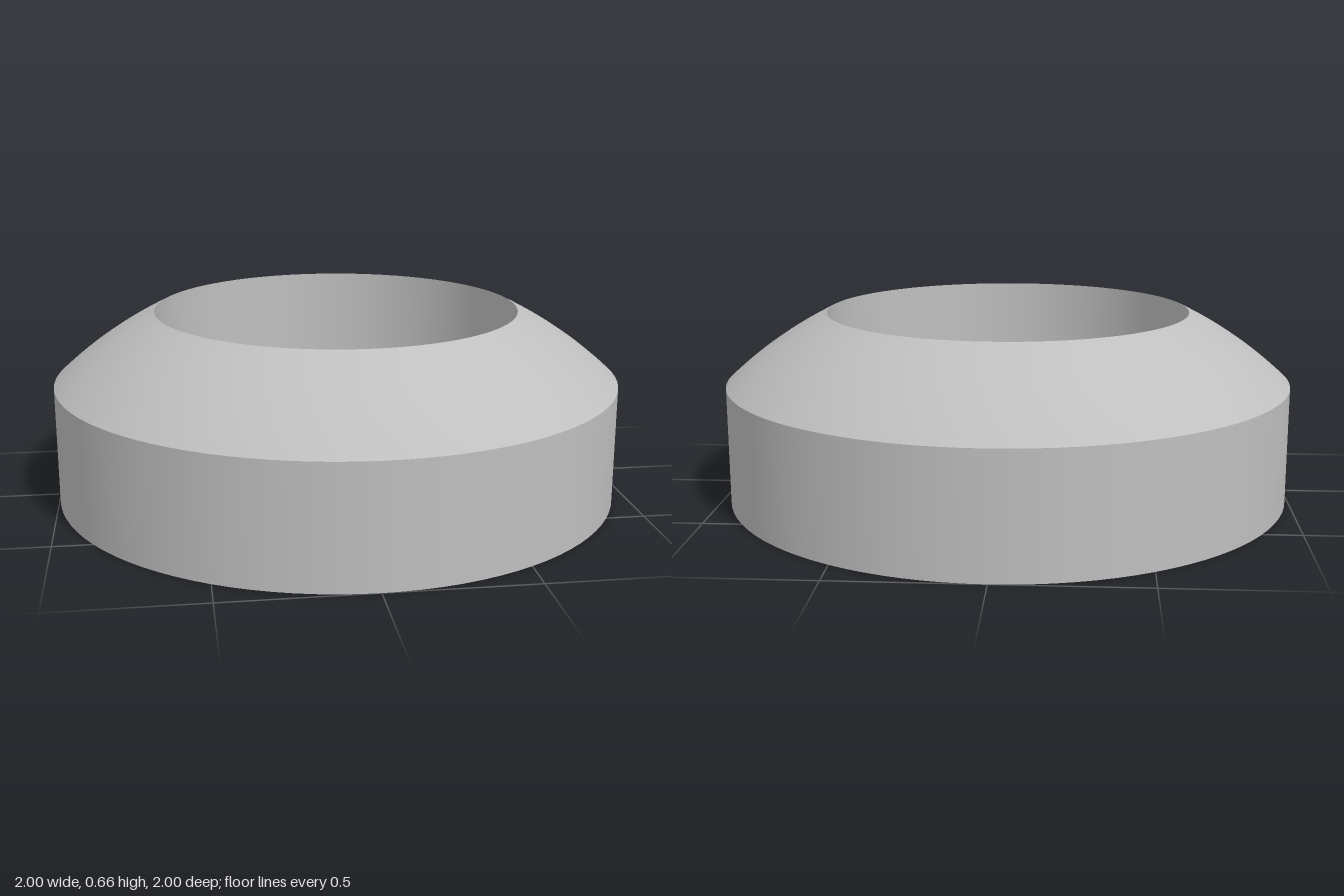
import * as THREE from 'three';

const SEGMENTS = 96;
const HEIGHT = 0.66, SHOULDER = 0.415, LEDGE = 0.24;
const OUTER = 1, RIM = 0.643, BORE = 0.534;

export function createModel() {
  const group = new THREE.Group();
  group.name = 'domedRing';
  const steel = new THREE.MeshStandardMaterial({ color: 0xbfbfbf });
  steel.name = 'plain grey';

  // Each surface is its own lathe, so edges between them stay sharp
  const addSurface = (name, points) => {
    const profile = points.map(([r, y]) => new THREE.Vector2(r, y));
    const mesh = new THREE.Mesh(new THREE.LatheGeometry(profile, SEGMENTS), steel);
    mesh.name = name;
    group.add(mesh);
  };

  // Spherical shoulder: arc centred on the axis through shoulder and rim
  const centre = (RIM ** 2 + HEIGHT ** 2 - OUTER ** 2 - SHOULDER ** 2) / (2 * (HEIGHT - SHOULDER));
  const radius = Math.hypot(OUTER, SHOULDER - centre);
  const a0 = Math.atan2(SHOULDER - centre, OUTER);
  const a1 = Math.atan2(HEIGHT - centre, RIM);
  const dome = [];
  for (let i = 0; i <= 12; i++) {
    const a = a0 + (a1 - a0) * i / 12;
    dome.push([radius * Math.cos(a), centre + radius * Math.sin(a)]);
  }

  // Profile runs counter-clockwise so every face points outwards
  addSurface('base', [[BORE, 0], [OUTER, 0]]);
  addSurface('outerWall', [[OUTER, 0], [OUTER, SHOULDER]]);
  addSurface('domedShoulder', dome);
  addSurface('upperBore', [[RIM, HEIGHT], [RIM, LEDGE]]);
  addSurface('innerLedge', [[RIM, LEDGE], [BORE, LEDGE]]);
  addSurface('lowerBore', [[BORE, LEDGE], [BORE, 0]]);
  return group;
}
